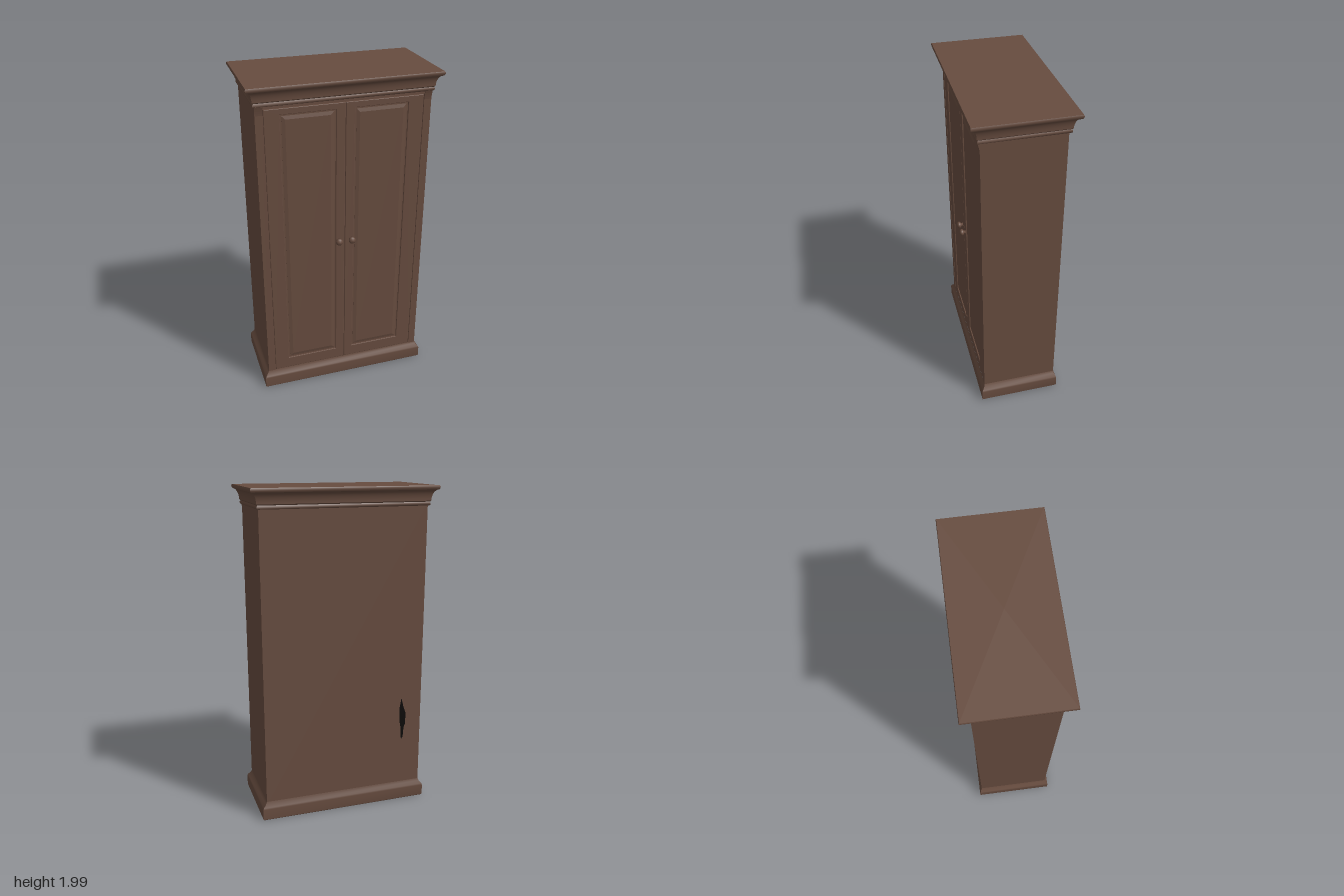
import * as THREE from 'three';

// Rectangular rings [halfWidth, zFront, zBack, y] joined into four walls:
// smooth along each strip, sharp at the corners and between strips.
function loft(strips) {
  const pos = [], idx = [];
  const corners = ([w, f, b, y]) => [[w, y, f], [w, y, b], [-w, y, b], [-w, y, f]];
  for (const rows of strips) {
    for (let side = 0; side < 4; side++) {
      const start = pos.length / 3;
      rows.forEach((row, i) => {
        const c = corners(row);
        pos.push(...c[side], ...c[(side + 1) % 4]);
        if (i) {
          const p = start + (i - 1) * 2;
          idx.push(p, p + 1, p + 3, p, p + 3, p + 2);
        }
      });
    }
  }
  const g = new THREE.BufferGeometry();
  g.setAttribute('position', new THREE.Float32BufferAttribute(pos, 3));
  g.setIndex(idx);
  g.computeVertexNormals();
  return g;
}

function rectPath(Type, x0, x1, y0, y1) {
  return new Type([[x0, y0], [x1, y0], [x1, y1], [x0, y1]].map(p => new THREE.Vector2(...p)));
}

export function createModel() {
  const group = new THREE.Group();
  const wood = new THREE.MeshStandardMaterial({ color: 0x674c3f });
  wood.name = 'brown wood';
  const dark = new THREE.MeshStandardMaterial({ color: 0x0c0a09, side: THREE.DoubleSide });
  dark.name = 'dark hollow';

  const add = (name, geometry, x = 0, y = 0, z = 0, material = wood) => {
    const mesh = new THREE.Mesh(geometry, material);
    mesh.name = name;
    mesh.position.set(x, y, z);
    group.add(mesh);
    return mesh;
  };
  const box = (name, w, h, d, x, y, z) => add(name, new THREE.BoxGeometry(w, h, d), x, y, z);

  // Carcass
  box('carcass', 1.01, 1.8, 0.452, 0, 1.0, -0.004);

  // Plinth with a hollow underside and a sloped, softened top
  add('plinth', loft([
    [[0.46, 0.18, -0.175, 0.05], [0.46, 0.18, -0.175, 0.008]],
    [[0.46, 0.18, -0.175, 0.008], [0.525, 0.245, -0.24, 0.008]],
    [[0.525, 0.245, -0.24, 0.008], [0.532, 0.251, -0.246, 0.015], [0.532, 0.251, -0.246, 0.08],
      [0.528, 0.248, -0.243, 0.09], [0.512, 0.234, -0.234, 0.11], [0.505, 0.23, -0.23, 0.125]],
  ]));
  const hollow = add('undersideHollow', new THREE.PlaneGeometry(0.92, 0.355), 0, 0.05, 0.0025, dark);
  hollow.rotation.x = Math.PI / 2;
  box('undersideBoard', 0.68, 0.008, 0.17, -0.06, 0.046, -0.085);

  // Cornice: bead, fillet, cove and top lip
  const cove = [];
  for (let i = 0; i <= 8; i++) {
    const a = (i / 8) * Math.PI / 2;
    const out = 0.032 * (1 - Math.cos(a));
    cove.push([0.518 + out, 0.247 + out, -0.247 - out, 1.912 + 0.064 * Math.sin(a)]);
  }
  add('cornice', loft([
    [[0.5, 0.225, -0.225, 1.884], [0.509, 0.238, -0.238, 1.884]],
    [[0.509, 0.238, -0.238, 1.884], [0.515, 0.244, -0.244, 1.889],
      [0.516, 0.245, -0.245, 1.898], [0.512, 0.241, -0.241, 1.906]],
    [[0.512, 0.241, -0.241, 1.906], [0.518, 0.247, -0.247, 1.912]],
    cove,
    [[0.55, 0.279, -0.279, 1.976], [0.555, 0.284, -0.284, 1.984], [0.556, 0.285, -0.285, 1.993],
      [0.553, 0.282, -0.282, 2.0]],
    [[0.553, 0.282, -0.282, 2.0], [0, 0, 0, 2.0]],
  ]));

  // Rail above the doors
  box('topRail', 1.01, 0.016, 0.012, 0, 1.878, 0.226);

  const knobProfile = [[0, 0], [0.013, 0], [0.009, 0.006], [0.009, 0.012], [0.017, 0.016],
    [0.021, 0.023], [0.019, 0.031], [0.011, 0.037], [0, 0.039]].map(p => new THREE.Vector2(...p));

  for (const [side, s] of [['left', 1], ['right', -1]]) {
    // Corner stile with a small flared bracket under the cornice
    box(side + 'Stile', 0.043, 1.76, 0.012, s * 0.4835, 0.99, 0.225);
    const bracket = new THREE.Shape();
    bracket.moveTo(0.228, 1.8);
    bracket.quadraticCurveTo(0.23, 1.85, 0.242, 1.886);
    bracket.lineTo(0.228, 1.886);
    const flare = new THREE.ExtrudeGeometry(bracket, { depth: 0.043, bevelEnabled: false, curveSegments: 6 });
    add(side + 'Bracket', flare, s * 0.4835 + 0.0215).rotation.y = -Math.PI / 2;

    // Door frame, running from the centre gap to the stile
    const span = (a, b) => (s > 0 ? [a, b] : [-b, -a]);
    const frame = rectPath(THREE.Shape, ...span(0.005, 0.455), 0.128, 1.862);
    frame.holes.push(rectPath(THREE.Path, ...span(0.052, 0.372), 0.195, 1.832));
    add(side + 'DoorFrame', new THREE.ExtrudeGeometry(frame, {
      depth: 0.005, bevelThickness: 0.003, bevelSize: 0.003, bevelSegments: 2,
    }), 0, 0, 0.222);

    // Raised door panel with sloped edges
    add(side + 'DoorPanel', new THREE.ExtrudeGeometry(
      rectPath(THREE.Shape, ...span(0.084, 0.34), 0.227, 1.8),
      { depth: 0.001, bevelThickness: 0.005, bevelSize: 0.02, bevelSegments: 1 },
    ), 0, 0, 0.222);

    // Turned knob
    add(side + 'Knob', new THREE.LatheGeometry(knobProfile, 24), s * 0.04, 1.01, 0.229).rotation.x = Math.PI / 2;
  }

  // Ragged dark scar low on the back
  const scar = new THREE.Shape([[-0.372, 0.7], [-0.36, 0.63], [-0.362, 0.55], [-0.372, 0.5], [-0.376, 0.42],
    [-0.388, 0.44], [-0.392, 0.5], [-0.403, 0.53], [-0.402, 0.6], [-0.388, 0.64]].map(p => new THREE.Vector2(...p)));
  add('backScar', new THREE.ShapeGeometry(scar), 0, 0, -0.233, dark);

  return group;
}
